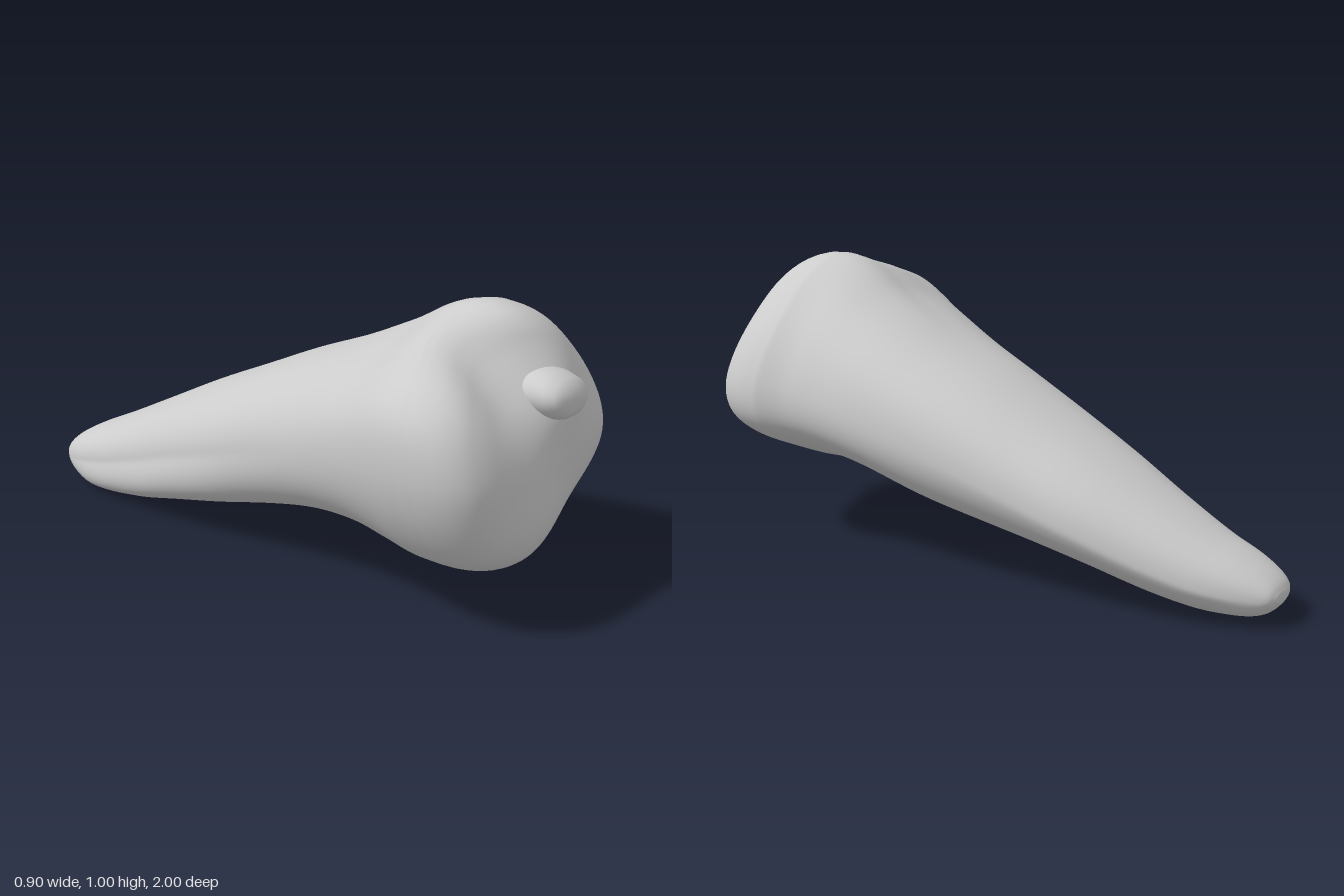
import * as THREE from 'three';

const SEG = 96;
const grey = new THREE.MeshStandardMaterial({ color: 0xcccccc });
grey.name = 'lightGrey';

// Lofts rings of Vector3 (counter-clockwise seen from +z, ordered from back to front).
function loft(rings) {
  const n = rings[0].length, pos = [], index = [];
  rings.forEach(r => r.forEach(p => pos.push(p.x, p.y, p.z)));
  for (let i = 0; i < rings.length - 1; i++) {
    for (let j = 0; j < n; j++) {
      const a = i * n + j, b = i * n + (j + 1) % n;
      index.push(a, b, a + n, b, b + n, a + n);
    }
  }
  // close both ends with a centre point
  const centre = r => r.reduce((s, p) => s.add(p), new THREE.Vector3()).divideScalar(n);
  const back = centre(rings[0]), front = centre(rings[rings.length - 1]);
  const k = rings.length * n, last = k - n;
  pos.push(back.x, back.y, back.z, front.x, front.y, front.z);
  for (let j = 0; j < n; j++) {
    const m = (j + 1) % n;
    index.push(k, m, j, k + 1, last + j, last + m);
  }
  const g = new THREE.BufferGeometry();
  g.setAttribute('position', new THREE.Float32BufferAttribute(pos, 3));
  g.setIndex(index);
  g.computeVertexNormals();
  return g;
}

// Lobed outline of the head, normalised to a -1..1 box.
function lobedOutline() {
  const pts = [
    [0.04, 1], [-0.08, 0.955], [-0.2, 0.91], [-0.34, 0.855], [-0.43, 0.76], [-0.45, 0.6],
    [-0.40, 0.42], [-0.28, 0.26], [-0.15, 0.205], [0, 0.24], [0.2, 0.325], [0.36, 0.41],
    [0.43, 0.48], [0.45, 0.57], [0.42, 0.7], [0.34, 0.83], [0.2, 0.95],
  ].map(([x, y]) => new THREE.Vector3(x / 0.45, (y - 0.6025) / 0.3975, 0));
  return new THREE.CatmullRomCurve3(pts, true).getSpacedPoints(SEG).slice(0, SEG);
}

// Rounded section of the tail: fuller at upper right and lower left, flatter at lower right.
function roundPoint(p) {
  const n = p.y > 0 ? (p.x > 0 ? 2.45 : 2.2) : (p.x > 0 ? 1.9 : 2.3);
  return p.clone().divideScalar((Math.abs(p.x) ** n + Math.abs(p.y) ** n) ** (1 / n));
}

const step = THREE.MathUtils.smoothstep;
const bump = (x, y, cx, cy, r) => Math.exp(-((x - cx) ** 2 + (y - cy) ** 2) / (r * r));

// Leans the upper front back, dents it between the lobes and swells it round the stem.
function shapeFront(p) {
  const dz = 0.028 * bump(p.x, p.y, -0.08, 0.36, 0.16)
    - 0.075 * step(p.y, 0.52, 0.92)
    - 0.05 * Math.max(0, -p.x) * step(-p.x, 0, 0.2)
    - 0.12 * bump(p.x, p.y, -0.12, 0.9, 0.16)
    + 0.035 * bump(p.x, p.y, 0.065, 0.75, 0.14);
  p.z += dz * step(p.z, 0.42, 0.95);
  return p;
}

function bodyGeometry() {
  const outline = lobedOutline();
  // z, bottom, top, right edge, left edge
  const stations = [
    [-1, 0.085, 0.115, -0.075, 0.015], [-0.985, 0.06, 0.14, -0.11, 0.045],
    [-0.95, 0.03, 0.17, -0.14, 0.075], [-0.88, 0.007, 0.212, -0.165, 0.12],
    [-0.78, 0, 0.262, -0.175, 0.17], [-0.6, 0.025, 0.36, -0.2, 0.235],
    [-0.4, 0.075, 0.47, -0.235, 0.295], [-0.2, 0.12, 0.57, -0.265, 0.33],
    [0, 0.165, 0.67, -0.285, 0.36], [0.2, 0.205, 0.76, -0.32, 0.385],
    [0.4, 0.228, 0.865, -0.375, 0.408], [0.55, 0.22, 0.948, -0.42, 0.417],
    [0.65, 0.208, 0.985, -0.442, 0.425], [0.74, 0.205, 1, -0.45, 0.447],
  ];
  const edges = new THREE.CatmullRomCurve3(stations.map(s => new THREE.Vector3(s[0], s[1], s[2])));
  const sides = new THREE.CatmullRomCurve3(stations.map(s => new THREE.Vector3(s[0], s[3], s[4])));
  const rings = [];
  for (let i = 0; i <= 78; i++) {
    const e = edges.getPoint(i / 78), s = sides.getPoint(i / 78);
    const round = 0.95 * (1 - step(e.x, 0.1, 0.72));
    const skew = 0.3 * step(e.x, -1, -0.8) * (1 - step(e.x, -0.6, 0.3));
    rings.push(outline.map(p => {
      const q = p.clone().lerp(roundPoint(p), round);
      q.x += skew * Math.min(0, q.y);
      return new THREE.Vector3(
        (s.y + s.z) / 2 + q.x * (s.z - s.y) / 2,
        (e.y + e.z) / 2 + q.y * (e.z - e.y) / 2, e.x);
    }));
  }
  // rounded front: the ring shrinks towards the middle
  const rim = rings[rings.length - 1];
  const cap = new THREE.CatmullRomCurve3([
    [1, 0.74], [0.988, 0.81], [0.945, 0.875], [0.86, 0.925], [0.72, 0.955],
    [0.5, 0.967], [0.25, 0.967], [0.02, 0.965],
  ].map(([s, z]) => new THREE.Vector3(s, z, 0)));
  for (let i = 1; i <= 40; i++) {
    const c = cap.getPoint(i / 40);
    rings.push(rim.map(p => new THREE.Vector3(p.x * c.x, 0.59 + (p.y - 0.59) * c.x, c.y)));
  }
  rings.forEach(r => r.forEach(shapeFront));
  return loft(rings);
}

// Short blunt stub rooted in the front.
function stemGeometry() {
  // z, centre x, centre y, half width, half height, slope
  const profile = [
    [0.78, 0.065, 0.745, 0.1, 0.07, 0], [0.88, 0.065, 0.745, 0.115, 0.082, 0.2],
    [0.92, 0.065, 0.747, 0.114, 0.08, 0.3], [0.95, 0.06, 0.75, 0.11, 0.073, 0.3],
    [0.978, 0.06, 0.75, 0.099, 0.06, 0.2], [0.994, 0.06, 0.75, 0.07, 0.038, 0.1],
    [1, 0.06, 0.75, 0.02, 0.01, 0],
  ];
  return loft(profile.map(([z, cx, cy, w, h, slope]) => Array.from({ length: 40 }, (_, j) => {
    const a = j / 40 * Math.PI * 2, dy = h * Math.sin(a) - 0.12 * w * Math.cos(a);
    return new THREE.Vector3(cx + w * Math.cos(a), cy + dy, z - slope * dy);
  })));
}

export function createModel() {
  const model = new THREE.Group();
  model.name = 'taperedVegetable';
  for (const [name, geometry] of [['body', bodyGeometry()], ['stem', stemGeometry()]]) {
    const mesh = new THREE.Mesh(geometry, grey);
    mesh.name = name;
    model.add(mesh);
  }
  return model;
}
